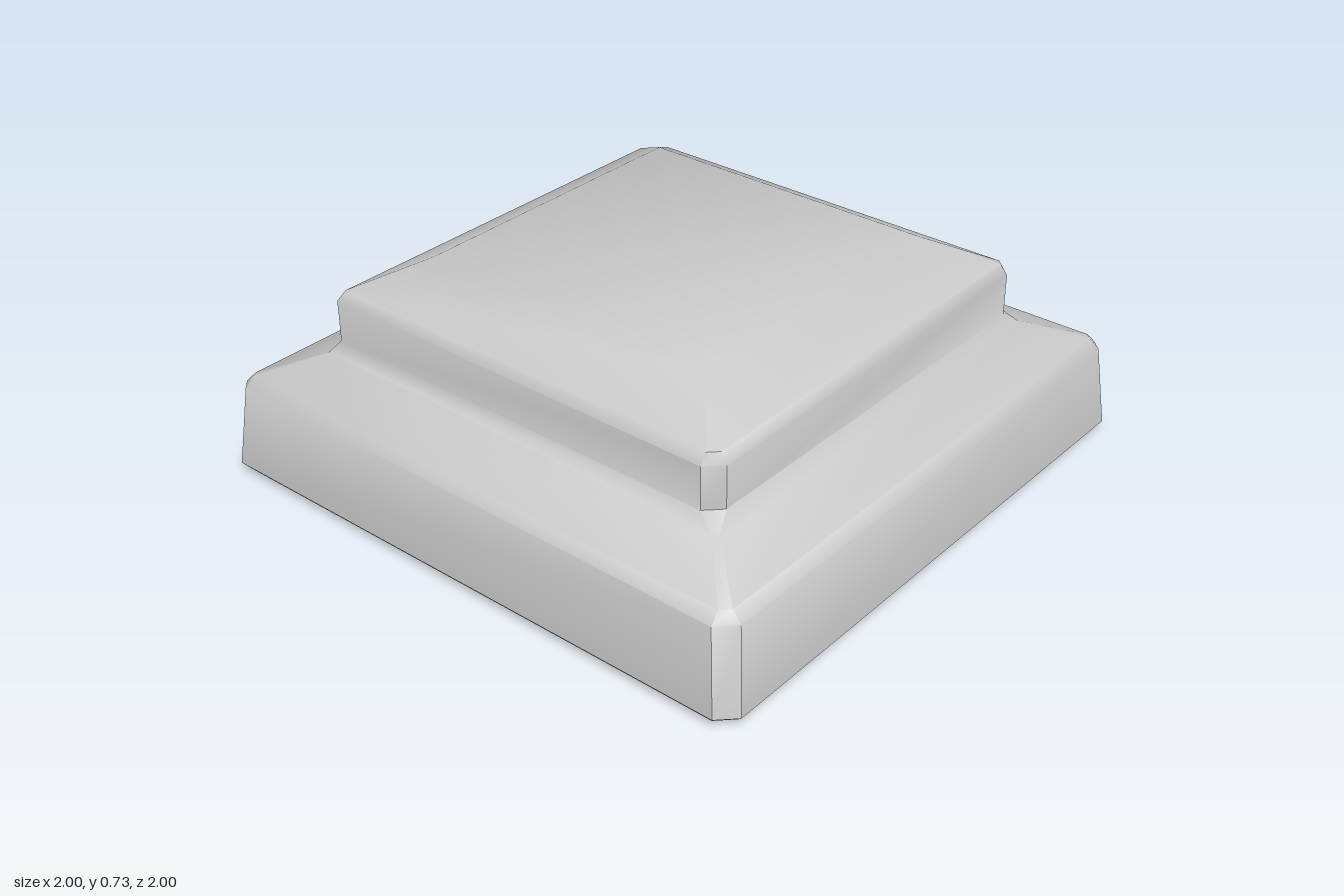
import * as THREE from 'three';
import { toCreasedNormals } from 'three/addons/utils/BufferGeometryUtils.js';

// Each level: half width, height, and which chamfer set it takes and how much of it
const LEVELS = [
  [0.97, 0.0, 'base', 0.9],
  [1.0, 0.035, 'base', 1],
  [0.97, 0.31, 'base', 1],
  [0.94, 0.345, 'base', 0.5],
  [0.77, 0.41, 'cap', 0.3],
  [0.74, 0.45, 'cap', 1],
  [0.74, 0.59, 'cap', 1],
  [0.72, 0.625, 'cap', 0.6],
  [0.53, 0.725, 'cap', 0],
];

// Corner chamfers in the order back left, back right, front right, front left
const CHAMFERS = {
  base: [0.035, 0, 0.03, 0.055],
  cap: [0.03, 0.11, 0, 0.05],
};

// Square section with two points per corner, counter-clockwise from above
function section([half, y, set, amount]) {
  const points = [];
  for (let k = 0; k < 4; k++) {
    const c = CHAMFERS[set][k] * amount;
    for (const [x, z] of [[half, c - half], [half - c, -half]]) {
      // quarter turns about the y axis
      const [rx, rz] = [[x, z], [z, -x], [-x, -z], [-z, x]][k];
      points.push(new THREE.Vector3(rx, y, rz));
    }
  }
  return points;
}

function loft(sections) {
  const positions = [];
  const triangle = (a, b, c) => {
    if (new THREE.Triangle(a, b, c).getArea() < 1e-7) return;
    for (const p of [a, b, c]) positions.push(p.x, p.y, p.z);
  };
  // walls between neighbouring sections
  for (let i = 0; i + 1 < sections.length; i++) {
    const low = sections[i], high = sections[i + 1];
    for (let j = 0; j < 8; j++) {
      const k = (j + 1) % 8;
      triangle(low[j], low[k], high[k]);
      triangle(low[j], high[k], high[j]);
    }
  }
  // flat top and underside
  const top = sections[sections.length - 1], bottom = sections[0];
  for (let j = 1; j < 7; j++) {
    triangle(top[0], top[j], top[j + 1]);
    triangle(bottom[0], bottom[j + 1], bottom[j]);
  }
  const geometry = new THREE.BufferGeometry();
  geometry.setAttribute('position', new THREE.Float32BufferAttribute(positions, 3));
  return toCreasedNormals(geometry, THREE.MathUtils.degToRad(42));
}

export function createModel() {
  const group = new THREE.Group();
  group.name = 'steppedPlinth';
  const stone = new THREE.MeshStandardMaterial({ color: 0xcccccc });
  const plinth = new THREE.Mesh(loft(LEVELS.map(section)), stone);
  plinth.name = 'plinthBlock';
  group.add(plinth);
  return group;
}
